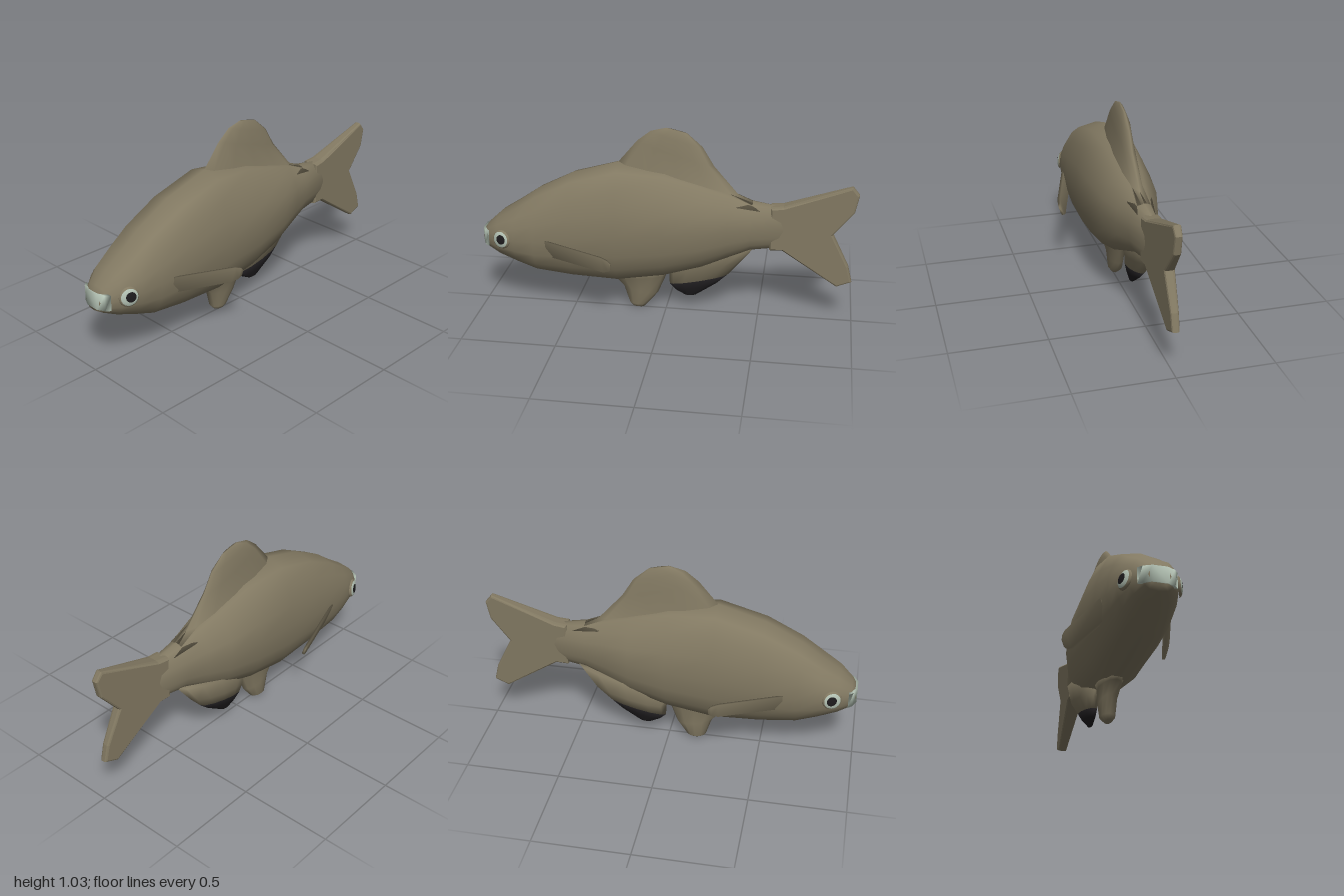
import * as THREE from 'three';

const skin = new THREE.MeshStandardMaterial({ color: 0x827962 });
skin.name = 'olive skin';
const pale = new THREE.MeshStandardMaterial({ color: 0xb2c0b2 });
pale.name = 'pale grey';
const dark = new THREE.MeshStandardMaterial({ color: 0x1d1b1d });
dark.name = 'near black';

// Skin a closed solid over a list of rings with equal point counts
function loft(rings) {
  const n = rings[0].length, pos = [], idx = [];
  rings.forEach(r => r.forEach(p => pos.push(...p)));
  for (let i = 0; i < rings.length - 1; i++) {
    for (let j = 0; j < n; j++) {
      const a = i * n + j, b = i * n + (j + 1) % n;
      idx.push(a, b, a + n, b, b + n, a + n);
    }
  }
  [0, rings.length - 1].forEach((k, end) => {
    const c = [0, 1, 2].map(d => rings[k].reduce((s, p) => s + p[d], 0) / n);
    const ci = pos.length / 3;
    pos.push(...c);
    for (let j = 0; j < n; j++) {
      const a = k * n + j, b = k * n + (j + 1) % n;
      if (end) idx.push(ci, a, b); else idx.push(ci, b, a);
    }
  });
  // Turn the faces outward if the signed volume is negative
  let vol = 0;
  const v = i => new THREE.Vector3().fromArray(pos, i * 3);
  for (let i = 0; i < idx.length; i += 3) vol += v(idx[i]).dot(v(idx[i + 1]).cross(v(idx[i + 2])));
  if (vol < 0) idx.reverse();
  const g = new THREE.BufferGeometry();
  g.setAttribute('position', new THREE.Float32BufferAttribute(pos, 3));
  g.setIndex(idx);
  g.computeVertexNormals();
  return g;
}

function add(group, name, geometry, material) {
  const m = new THREE.Mesh(geometry, material);
  m.name = name;
  group.add(m);
  return m;
}

// Body ring: top, widest and bottom heights, half width, shoulder width ratio
function bodyRing([z, top, mid, bottom, w, k]) {
  const half = [[0, 1], [k, 0.92], [0.45 + k * 0.6, 0.66], [0.95, 0.36], [1, 0],
    [0.93, -0.4], [0.8, -0.68], [0.55, -0.92], [0, -1]];
  const at = ([x, t], s) => [s * x * w, mid + t * (t > 0 ? top - mid : mid - bottom), z];
  return [...half.map(p => at(p, 1)), ...half.slice(1, -1).reverse().map(p => at(p, -1))];
}

// Fin rows: front z, front y, back z, back y, centre x, half thickness
function fin(rows) {
  return loft(rows.map(([fz, fy, bz, by, cx, t]) => {
    const ring = [];
    for (let i = 0; i < 12; i++) {
      const a = i / 12 * Math.PI * 2, u = 0.5 - 0.5 * Math.cos(a);
      ring.push([cx + Math.sin(a) * t, fy + (by - fy) * u, fz + (bz - fz) * u]);
    }
    return ring;
  }));
}

export function createModel() {
  const fish = new THREE.Group();
  fish.name = 'fish';

  // Body from nose to tail root
  add(fish, 'body', loft([
    [0.988, 0.43, 0.39, 0.335, 0.05, 0.6],
    [0.965, 0.46, 0.39, 0.322, 0.08, 0.6],
    [0.90, 0.52, 0.40, 0.292, 0.122, 0.6],
    [0.80, 0.585, 0.41, 0.255, 0.15, 0.6],
    [0.69, 0.665, 0.42, 0.216, 0.165, 0.58],
    [0.50, 0.765, 0.45, 0.195, 0.178, 0.56],
    [0.25, 0.84, 0.48, 0.182, 0.181, 0.54],
    [0.00, 0.815, 0.50, 0.225, 0.176, 0.42],
    [-0.20, 0.755, 0.51, 0.285, 0.15, 0.4],
    [-0.33, 0.71, 0.52, 0.34, 0.113, 0.4],
    [-0.45, 0.66, 0.52, 0.39, 0.078, 0.45],
    [-0.62, 0.635, 0.52, 0.41, 0.043, 0.5],
  ].map(bodyRing)), skin);

  // Dorsal fin
  add(fish, 'dorsalFin', fin([
    [0.28, 0.76, -0.60, 0.60, 0, 0.075],
    [0.25, 0.84, -0.38, 0.69, 0, 0.052],
    [0.15, 0.96, -0.25, 0.84, 0, 0.036],
    [0.08, 1.015, -0.19, 0.94, 0, 0.026],
    [0.00, 1.035, -0.11, 1.01, 0, 0.008],
  ]), skin);

  // Pelvic fin
  add(fish, 'pelvicFin', fin([
    [0.34, 0.21, -0.05, 0.28, 0, 0.07],
    [0.29, 0.175, 0.0, 0.20, -0.004, 0.053],
    [0.235, 0.12, 0.045, 0.09, -0.012, 0.044],
    [0.205, 0.025, 0.10, 0.02, -0.015, 0.039],
    [0.185, 0.003, 0.12, 0.0, -0.01, 0.018],
  ]), skin);

  // Anal fin with dark lower edge
  const cut = [-0.015, 0.135, -0.33, 0.21, -0.035, 0.034];
  add(fish, 'analFin', fin([
    [0.02, 0.30, -0.50, 0.42, -0.035, 0.075],
    [-0.01, 0.20, -0.41, 0.30, -0.045, 0.056],
    cut,
  ]), skin);
  add(fish, 'analFinTip', fin([
    cut,
    [-0.05, 0.10, -0.27, 0.155, -0.032, 0.024],
    [-0.10, 0.075, -0.16, 0.08, -0.03, 0.01],
  ]), dark);

  // Forked tail, thinning towards its rear edge
  const outline = [[-0.56, 0.63], [-0.62, 0.637], [-0.96, 0.755], [-0.988, 0.72], [-0.97, 0.63], [-0.865, 0.5],
    [-0.955, 0.32], [-0.975, 0.24], [-0.91, 0.215], [-0.62, 0.41], [-0.56, 0.41]];
  const tail = new THREE.ExtrudeGeometry(
    new THREE.Shape(outline.map(([z, y]) => new THREE.Vector2(-z, y))),
    { depth: 1, bevelEnabled: true, bevelThickness: 0.5, bevelSize: 0.01, bevelSegments: 2 });
  tail.translate(0, 0, -0.5).rotateY(Math.PI / 2);
  const tp = tail.attributes.position;
  for (let i = 0; i < tp.count; i++) {
    const thickness = THREE.MathUtils.mapLinear(tp.getZ(i), -0.6, -1, 0.044, 0.018);
    tp.setX(i, tp.getX(i) * thickness);
  }
  tail.computeVertexNormals();
  add(fish, 'tailFin', tail, skin);

  // Mouth plate wrapped over the nose
  add(fish, 'mouth', loft([[0.952, 0.095], [0.974, 0.076], [0.994, 0.035]].map(([z, w]) =>
    [[w, 0.435, z], [-w, 0.435, z], [-w, 0.352, z], [w, 0.352, z]])), pale);

  for (const s of [1, -1]) {
    const side = s > 0 ? 'left' : 'right';

    // Pectoral fin: a thin strip with a rounded end
    const strip = [[0.62, 0.155, 0.435, 0.337], [0.30, 0.25, 0.404, 0.31],
      [0.265, 0.26, 0.39, 0.32], [0.25, 0.264, 0.372, 0.338]];
    add(fish, side + 'PectoralFin', loft(strip.map(([z, x, t, b]) => {
      const lean = y => x + (y - (t + b) / 2) * 0.32;
      return [[s * (lean(t) + 0.007), t, z], [s * (lean(t) - 0.007), t, z],
        [s * (lean(b) - 0.007), b, z], [s * (lean(b) + 0.007), b, z]];
    })), skin);

    // Eye: socket, pale iris and dark pupil
    const eye = new THREE.Group();
    eye.name = side + 'Eye';
    const cap = (r, angle) => new THREE.SphereGeometry(r, 20, 8, 0, Math.PI * 2, 0, angle).scale(1, 0.42, 1);
    add(eye, 'socket', cap(0.052, Math.PI / 2), skin);
    add(eye, 'iris', cap(0.0535, 0.95), pale);
    add(eye, 'pupil', cap(0.055, 0.5), dark).position.set(0, 0.0005, -0.006);
    eye.position.set(s * 0.124, 0.41, 0.868);
    eye.quaternion.setFromUnitVectors(new THREE.Vector3(0, 1, 0), new THREE.Vector3(s * 0.94, 0.1, 0.33).normalize());
    fish.add(eye);
  }
  return fish;
}
